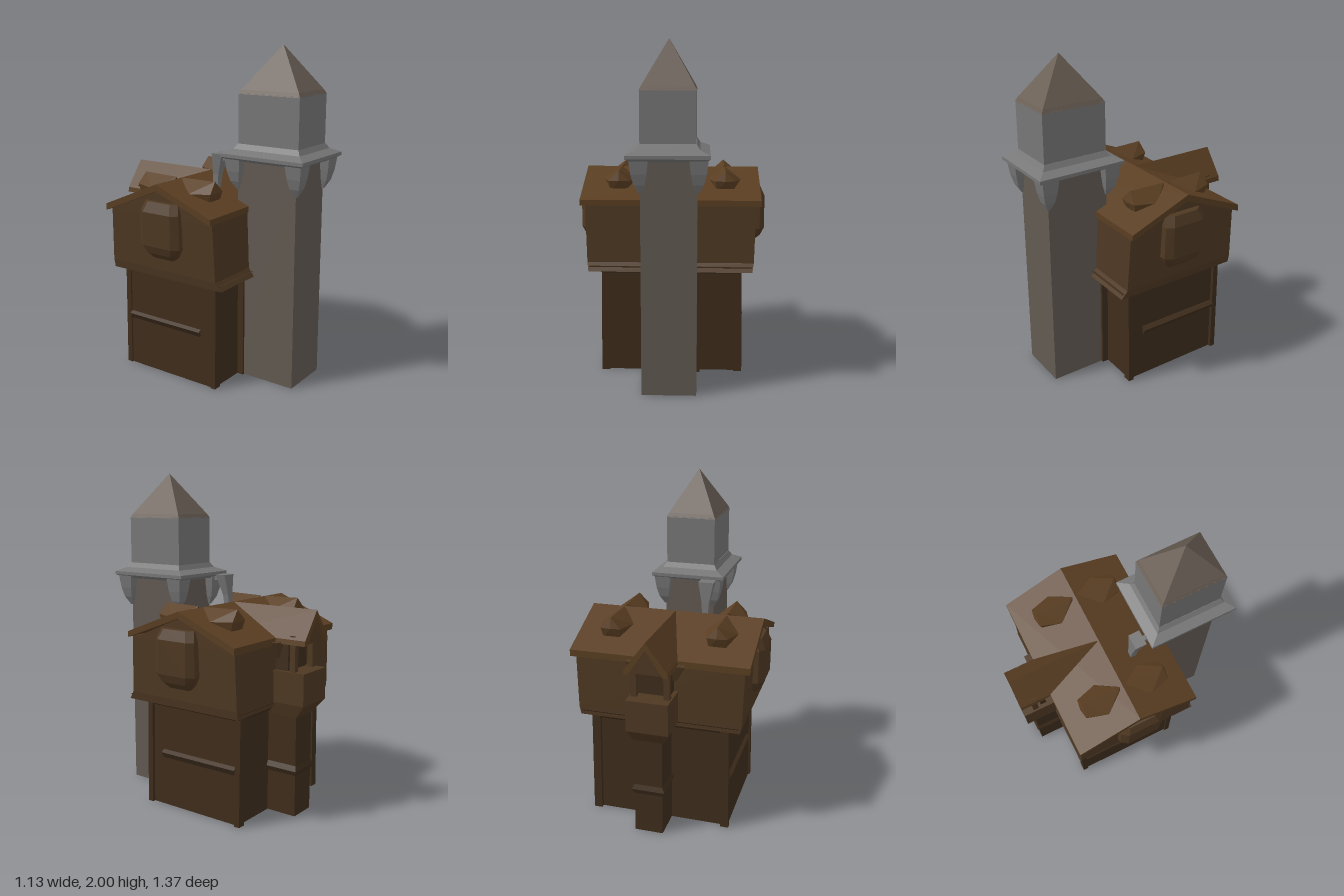
import * as THREE from 'three';
import { ConvexGeometry } from 'three/addons/geometries/ConvexGeometry.js';

const mat = (color) => new THREE.MeshStandardMaterial({ color, flatShading: true, side: THREE.DoubleSide });
const roofBrown = mat(0x5a3e22), wallBrown = mat(0x4e3822), darkBrown = mat(0x3f2d1c);
const stone = mat(0x777777), shaftStone = mat(0x625a52), spireStone = mat(0x6a5f55);

export function createModel() {
  const model = new THREE.Group();

  const add = (name, geometry, material) => {
    const mesh = new THREE.Mesh(geometry, material);
    mesh.name = name;
    model.add(mesh);
    return mesh;
  };

  // Solid through rectangular rings [y, x0, x1, z0, z1], bottom to top
  const loft = (name, material, ...rings) => {
    const pos = [], idx = [];
    rings.forEach(([y, xa, xb, za, zb]) => {
      const x0 = Math.min(xa, xb), x1 = Math.max(xa, xb);
      const z0 = Math.min(za, zb), z1 = Math.max(za, zb);
      pos.push(x0, y, z1, x1, y, z1, x1, y, z0, x0, y, z0);
    });
    for (let r = 0; r < rings.length - 1; r++) {
      for (let i = 0; i < 4; i++) {
        const a = r * 4 + i, b = r * 4 + (i + 1) % 4;
        idx.push(a, b, b + 4, a, b + 4, a + 4);
      }
    }
    const t = (rings.length - 1) * 4;
    idx.push(0, 2, 1, 0, 3, 2, t, t + 1, t + 2, t, t + 2, t + 3);
    const g = new THREE.BufferGeometry();
    g.setAttribute('position', new THREE.Float32BufferAttribute(pos, 3));
    g.setIndex(idx);
    const flat = g.toNonIndexed();
    flat.computeVertexNormals();
    return add(name, flat, material);
  };
  const box = (name, material, x0, x1, y0, y1, z0, z1) =>
    loft(name, material, [y0, x0, x1, z0, z1], [y1, x0, x1, z0, z1]);

  // Profile extruded along z, or along x when the points are [z, y]
  const extrude = (name, material, points, from, to, alongX) => {
    const shape = new THREE.Shape(points.map(([a, y]) => new THREE.Vector2(alongX ? -a : a, y)));
    const g = new THREE.ExtrudeGeometry(shape, { depth: to - from, bevelEnabled: false });
    g.translate(0, 0, from);
    if (alongX) g.rotateY(Math.PI / 2);
    return add(name, g, material);
  };
  const hull = (name, material, points) =>
    add(name, new ConvexGeometry(points.map((p) => new THREE.Vector3(...p))), material);

  // Ground floor, with corner posts and a rail on each side
  loft('groundFloor', darkBrown, [0, -0.42, 0.41, -0.43, 0.22], [0.65, -0.41, 0.4, -0.43, 0.22]);
  for (const s of [-1, 1]) {
    for (const z of [-0.435, 0.22]) {
      loft('cornerPost', darkBrown,
        [0, s * 0.38, s * 0.43, z - 0.02, z + 0.015],
        [0.64, s * 0.37, s * 0.42, z - 0.02, z + 0.015]);
    }
    loft('sideRail', darkBrown,
      [0.3, s * 0.4, s * 0.415, -0.42, 0.12],
      [0.335, s * 0.4, s * 0.435, -0.42, 0.12],
      [0.35, s * 0.4, s * 0.412, -0.42, 0.12]);
  }

  // Jettied upper floor under the gable
  loft('jetty', darkBrown,
    [0.62, -0.42, 0.41, -0.44, 0.235],
    [0.645, -0.45, 0.44, -0.46, 0.26],
    [0.68, -0.49, 0.48, -0.485, 0.32]);
  loft('upperFloor', wallBrown,
    [0.65, -0.49, 0.48, -0.48, 0.325],
    [0.7, -0.5, 0.49, -0.48, 0.29],
    [1.05, -0.51, 0.5, -0.47, 0.275]);
  extrude('gableWalls', wallBrown, [[0.27, 1.03], [-0.1, 1.19], [-0.47, 1.03]], -0.51, 0.5, true);
  extrude('mainRoof', roofBrown,
    [[0.285, 1.04], [0.285, 1.075], [-0.1, 1.225], [-0.49, 1.06], [-0.49, 1.02], [-0.1, 1.185]],
    -0.54, 0.53, true);

  // Hanging bay on each gable wall
  for (const s of [-1, 1]) {
    const p = [];
    for (const [y, out, half, outerHalf] of [[0.77, 0.5, 0.08, 0.07], [0.81, 0.545, 0.12, 0.08],
      [0.86, 0.567, 0.145, 0.1], [1.06, 0.567, 0.14, 0.1], [1.12, 0.54, 0.12, 0.08]]) {
      for (const e of [-1, 1]) {
        p.push([s * 0.48, y, -0.08 + e * half]);
        p.push([s * (out - 0.03), y, -0.08 + e * half]);
        p.push([s * out, y, -0.08 + e * outerHalf]);
      }
    }
    hull('bayWindow', wallBrown, p);
  }

  // Four hipped dormers, two on each slope
  for (const x of [-0.32, 0.32]) {
    for (const d of [-1, 1]) {
      const at = (dx, y, dz) => [x + dx, y, -0.1 + d * dz];
      const p = [at(0, 1.23, 0.02), at(0, 1.235, 0.26), at(0, 1.17, 0.28)];
      for (const e of [-1, 1]) {
        p.push(at(e * 0.1, 1.165, 0.14), at(e * 0.06, 1.17, 0.27));
        p.push(at(e * 0.05, 1.1, 0.25), at(e * 0.03, 1.19, 0.03));
      }
      hull('dormer', roofBrown, p);
    }
  }

  // Back wing: stair stack, balcony, posts and cross gable
  box('backStack', darkBrown, -0.07, 0.1, 0, 0.66, -0.62, -0.42);
  loft('stackBand', darkBrown,
    [0.25, -0.07, 0.1, -0.62, -0.43], [0.28, -0.085, 0.115, -0.632, -0.43], [0.31, -0.07, 0.1, -0.62, -0.43]);
  loft('balcony', wallBrown,
    [0.6, -0.08, 0.1, -0.62, -0.46],
    [0.68, -0.125, 0.125, -0.68, -0.46],
    [0.87, -0.125, 0.125, -0.68, -0.46]);
  box('balconyWall', darkBrown, -0.1, 0.1, 0.85, 1.08, -0.56, -0.46);
  for (const s of [-1, 1]) {
    box('balconyPost', wallBrown, s * 0.08, s * 0.115, 0.86, 1.08, -0.615, -0.58);
    loft('eaveBracket', wallBrown,
      [0.94, s * 0.1, s * 0.12, -0.5, -0.46], [1.04, s * 0.1, s * 0.175, -0.53, -0.46]);
  }
  extrude('backGable', wallBrown, [[-0.11, 1.03], [0.11, 1.03], [0, 1.2]], -0.66, -0.3);
  extrude('backRoof', roofBrown,
    [[-0.13, 1.03], [-0.1, 1.03], [0, 1.18], [0.1, 1.03], [0.13, 1.03], [0.125, 1.06], [0, 1.225], [-0.125, 1.06]],
    -0.685, -0.11);

  // Tower shaft with edge strips where it meets the house
  box('towerShaft', shaftStone, -0.158, 0.155, 0, 1.37, 0.21, 0.6);
  for (const s of [-1, 1]) {
    box('shaftStrip', darkBrown, s * 0.14, s * 0.172, 0, 0.66, 0.2, 0.26);
  }

  // Flared collar on corner corbels
  loft('collar', stone,
    [1.345, -0.2, 0.19, 0.17, 0.645],
    [1.365, -0.235, 0.225, 0.13, 0.68],
    [1.385, -0.235, 0.225, 0.13, 0.68],
    [1.41, -0.18, 0.17, 0.19, 0.63],
    [1.44, -0.16, 0.15, 0.21, 0.61]);
  for (const s of [-1, 1]) {
    for (const e of [-1, 1]) {
      const ring = (y, inner, outer) =>
        [y, s * (0.155 - inner), s * (0.155 + outer), 0.405 + e * (0.195 - inner), 0.405 + e * (0.195 + outer)];
      loft('corbel', stone, ring(1.17, 0.01, 0.008), ring(1.22, 0.025, 0.035),
        ring(1.28, 0.035, 0.05), ring(1.36, 0.045, 0.06));
    }
  }

  // Belfry and spire
  box('belfry', stone, -0.158, 0.148, 1.42, 1.73, 0.21, 0.61);
  loft('spire', spireStone,
    [1.725, -0.16, 0.15, 0.208, 0.612],
    [1.75, -0.148, 0.138, 0.222, 0.598],
    [2, -0.006, -0.004, 0.409, 0.411]);

  // Small hanging lantern behind the collar
  box('lanternArm', stone, -0.165, -0.135, 1.33, 1.36, 0.05, 0.15);
  loft('lantern', stone,
    [1.15, -0.165, -0.13, 0.03, 0.065],
    [1.24, -0.17, -0.125, 0.035, 0.075],
    [1.37, -0.195, -0.1, 0.045, 0.115]);

  return model;
}
